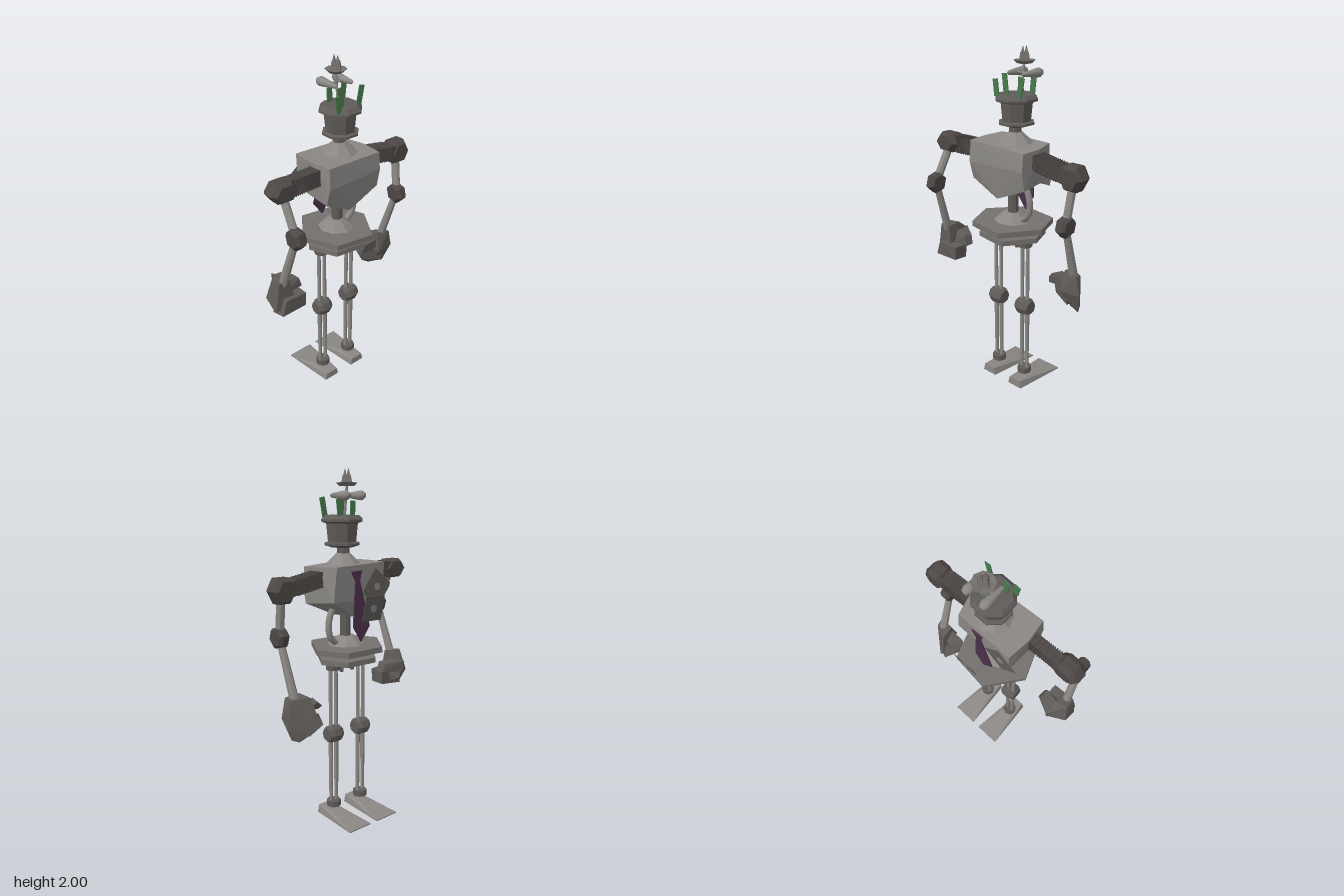
import * as THREE from 'three';
import { ConvexGeometry } from 'three/addons/geometries/ConvexGeometry.js';

const V = (p) => new THREE.Vector3(...p);
const paint = (name, color, side = THREE.FrontSide) => {
  const m = new THREE.MeshStandardMaterial({ color, side });
  m.name = name;
  return m;
};

export function createModel() {
  const root = new THREE.Group();
  root.name = 'robot';
  const steel = paint('steel grey', 0x8a8784);
  const plateGrey = paint('plate grey', 0x74706d);
  const iron = paint('iron grey', 0x5f5b58);
  const dark = paint('dark joint grey', 0x4d4745);
  const green = paint('green', 0x487a4d, THREE.DoubleSide);
  const purple = paint('purple', 0x4a3049, THREE.DoubleSide);

  // Adds a faceted mesh; smooth geometry keeps its own normals.
  const add = (name, geo, mat, pos = [0, 0, 0], rot = [0, 0, 0], smooth = false) => {
    if (!smooth) {
      if (geo.index) geo = geo.toNonIndexed();
      geo.computeVertexNormals();
    }
    const m = new THREE.Mesh(geo, mat);
    m.name = name;
    m.position.set(...pos);
    m.rotation.set(...rot);
    root.add(m);
    return m;
  };
  const box = (name, size, mat, pos, rot) => add(name, new THREE.BoxGeometry(...size), mat, pos, rot);
  const hull = (name, pts, mat) => add(name, new ConvexGeometry(pts.map(V)), mat);
  const cyl = (name, rt, rb, h, n, mat, pos, rot) =>
    add(name, new THREE.CylinderGeometry(rt, rb, h, n), mat, pos, rot);
  // Round bar from a to b
  const rod = (name, a, b, ra, rb, mat, n = 8) => {
    const A = V(a), B = V(b), d = B.clone().sub(A);
    const m = cyl(name, rb, ra, d.length(), n, mat);
    m.position.copy(A).addScaledVector(d, 0.5);
    m.quaternion.setFromUnitVectors(new THREE.Vector3(0, 1, 0), d.normalize());
    return m;
  };
  const turned = (pts, n, start = 0) =>
    new THREE.LatheGeometry(pts.map((p) => new THREE.Vector2(...p)), n, start);
  // Chamfered joint drum, axis along its own y
  const drum = (name, r, w, n, mat, pos, rot) =>
    add(name, turned([[0, -w / 2], [r * 0.75, -w / 2], [r, -w / 4], [r, w / 4], [r * 0.75, w / 2], [0, w / 2]], n),
      mat, pos, rot);
  // Flat outline in x/y
  const plate = (name, pts, depth, mat, pos, rot) =>
    add(name, new THREE.ExtrudeGeometry(new THREE.Shape(pts.map((p) => new THREE.Vector2(...p))),
      { depth, bevelEnabled: false }), mat, pos, rot);

  // Legs and feet, toes towards -z
  for (const x of [-0.108, 0.103]) {
    const s = Math.sign(x);
    hull('foot', [
      [x - 0.04, 0.045, 0.09], [x + 0.04, 0.045, 0.09], [x - 0.05, 0, 0.09], [x + 0.05, 0, 0.09],
      [x - 0.035, 0.043, -0.03], [x + 0.035, 0.043, -0.03],
      [x - 0.08, 0, -0.235], [x + 0.08, 0, -0.235], [x - 0.08, 0.006, -0.235], [x + 0.08, 0.006, -0.235],
    ], steel);
    cyl('ankle', 0.042, 0.042, 0.035, 8, iron, [x, 0.082, 0]);
    for (const dx of [-0.02, 0.02]) {
      rod('shinRod', [x + dx, 0.09, 0], [x + dx, 0.5, 0], 0.011, 0.014, steel);
      rod('thighRod', [x + dx, 0.53, 0], [x + dx, 0.92, 0], 0.011, 0.011, steel);
    }
    drum('knee', 0.053, 0.096, 8, iron, [x, 0.515, 0], [0, 0, Math.PI / 2]);
    cyl('hipCap', 0.042, 0.042, 0.032, 8, iron, [x, 0.915, 0]);
    cyl('hipPin', 0.012, 0.012, 0.09, 6, iron, [s * 0.04, 0.92, 0]);
  }

  // Hexagonal pelvis plates
  const hex = [[-0.08, 0.21], [0.15, 0.187], [0.222, 0], [0.09, -0.21], [-0.14, -0.18], [-0.225, 0.015]];
  plate('upperPelvisPlate', hex, 0.032, plateGrey, [0, 1.005, 0], [-Math.PI / 2, 0.03, 0]);
  plate('lowerPelvisPlate', hex.map((p) => [p[0] * 0.84, p[1] * 0.81]), 0.03, plateGrey, [0, 0.942, 0],
    [-Math.PI / 2, 0.02, 0]);
  cyl('pelvisCore', 0.045, 0.045, 0.05, 8, dark, [0, 0.985, 0]);
  cyl('waistCone', 0.045, 0.11, 0.055, 8, steel, [0, 1.06, 0]);
  cyl('spine', 0.031, 0.031, 0.16, 10, iron, [0.01, 1.15, 0]);
  const hose = new THREE.CatmullRomCurve3([[0.08, 1.27, 0], [0.115, 1.23, 0], [0.135, 1.15, 0],
    [0.12, 1.085, 0], [0.08, 1.05, 0]].map(V));
  add('waistHose', new THREE.TubeGeometry(hose, 16, 0.018, 8), steel, [0, 0, 0], [0, 0, 0], true);

  // Keel-shaped torso
  hull('torso', [
    [-0.18, 1.5, -0.115], [0.17, 1.49, -0.115], [0.205, 1.485, 0.0], [0.2, 1.48, 0.13],
    [-0.17, 1.5, 0.15], [-0.19, 1.5, 0.02],
    [-0.175, 1.38, 0.157], [0.2, 1.38, 0.14], [-0.175, 1.28, 0.13], [0.2, 1.275, 0.12],
    [-0.175, 1.3, -0.11], [0.19, 1.3, -0.11], [0, 1.19, 0.12], [0, 1.2, -0.07],
  ], steel);
  cyl('collar', 0.038, 0.1, 0.06, 8, steel, [0.025, 1.523, 0]);
  cyl('neck', 0.034, 0.034, 0.06, 8, iron, [0.025, 1.575, 0]);

  // Necktie on the back (-z) face
  plate('tie', [[0.043, 1.41], [0.072, 1.46], [-0.004, 1.465], [0.012, 1.41], [-0.064, 1.15], [0, 1.065],
    [0.058, 1.155]], 0.008, purple, [0, 0, -0.124]);

  // Two thin cards with round studs, one backed in green
  const card = (name, size, pos, rot, backed) => {
    const g = new THREE.Group();
    g.name = name;
    g.add(box('cardFace', [size, size, 0.003], iron),
      cyl('cardSpot', 0.022, 0.022, 0.002, 10, steel, [0, 0, -0.0025], [Math.PI / 2, 0, 0]));
    if (backed) g.add(box('cardBacking', [size, size, 0.002], green, [-0.008, -0.012, 0.0026]));
    g.position.set(...pos);
    g.rotation.set(...rot);
    root.add(g);
  };
  card('floatingCard', 0.138, [0.018, 1.27, -0.238], [-0.18, 0, 0.03], false);
  card('shoulderCard', 0.15, [-0.122, 1.365, -0.119], [0, 0, 0.66], true);

  // Head with flared rims
  add('head', turned([[0, 1.585], [0.06, 1.585], [0.102, 1.598], [0.102, 1.61], [0.082, 1.615], [0.092, 1.715],
    [0.12, 1.725], [0.12, 1.737], [0.1, 1.758], [0, 1.762]], 8, Math.PI / 8), iron, [0.033, 0, 0]);

  // Green upright strips around the head top
  const strips = [[-0.045, 0.075, 0.09, 0.12], [-0.005, 0.045, 0.12, 0.13], [0.01, -0.06, 0.09, 0.05],
    [0.115, 0.06, 0.11, -0.2], [0.1, -0.055, 0.1, -0.12]];
  for (const [x, z, h, tilt] of strips)
    box('headStrip', [0.034, h, 0.006], green, [x, 1.745 + h / 2, z], [0, 0, tilt]);

  // Antenna, eye stalks and little hat
  rod('antenna', [0.042, 1.75, -0.03], [0.042, 1.93, -0.05], 0.007, 0.007, steel);
  rod('eyeBar', [-0.012, 1.865, -0.04], [0.097, 1.862, -0.04], 0.006, 0.006, steel);
  for (const x of [-0.012, 0.097])
    add('eyeStalk', turned([[0, -0.078], [0.016, -0.075], [0.026, -0.055], [0.024, -0.03],
      [0.012, 0.06], [0, 0.078]], 12), steel, [x, 1.863, -0.05], [Math.PI / 2, 0, 0], true);
  add('hatBrim', turned([[0, 1.912], [0.04, 1.912], [0.06, 1.93], [0.04, 1.926], [0, 1.926]], 8), plateGrey,
    [0.044, 0, -0.05]);
  cyl('hatCrown', 0.03, 0.04, 0.045, 4, plateGrey, [0.044, 1.945, -0.05]);
  for (const [dx, dz] of [[-0.014, 0], [0.014, 0], [0, 0.014], [0, -0.014]])
    cyl('hatPeak', 0.002, 0.016, 0.04 - Math.abs(dx), 4, plateGrey, [0.044 + dx, 1.98 - Math.abs(dx) / 2, -0.05 + dz]);

  // Arms: finely ribbed shoulder bar, faceted joints, rods
  const arm = ({ inner, shoulder, elbow, wrist, r, squash, bar, ribZ }) => {
    const a = V(inner), b = V(shoulder);
    const tilt = Math.atan((b.y - a.y) / (b.x - a.x));
    box('shoulderBar', [Math.abs(b.x - a.x) * 0.85, bar, ribZ], dark, a.clone().lerp(b, 0.42).toArray(), [0, 0, tilt]);
    for (let i = 0; i < 12; i++)
      box('shoulderRib', [0.004, bar + 0.008, ribZ + 0.006], dark, a.clone().lerp(b, 0.1 + i * 0.055).toArray(),
        [0, 0, tilt]);
    drum('shoulderJoint', r, 0.11, 6, dark, shoulder, [Math.PI / 2, Math.PI / 2, 0]).scale.set(squash, 1, 1);
    rod('upperArm', shoulder, elbow, 0.024, 0.024, steel);
    drum('elbow', 0.063, 0.066, 6, dark, elbow, [0.25, 0, Math.PI / 2]);
    rod('forearm', elbow, wrist, 0.02, 0.026, steel);
  };
  arm({ inner: [-0.17, 1.43, 0.05], shoulder: [-0.42, 1.435, 0.07], elbow: [-0.428, 1.21, 0.19],
    wrist: [-0.455, 0.87, 0.085], r: 0.086, squash: 0.74, bar: 0.09, ribZ: 0.065 });
  arm({ inner: [0.18, 1.425, 0.015], shoulder: [0.445, 1.38, 0.012], elbow: [0.432, 1.122, 0.055],
    wrist: [0.418, 0.79, -0.05], r: 0.073, squash: 1.08, bar: 0.08, ribZ: 0.09 });

  // Hand at -x, a loose fist
  hull('rightPalm', [[-0.49, 0.92, 0.05], [-0.42, 0.92, 0.03], [-0.49, 0.91, 0.11], [-0.42, 0.91, 0.11],
    [-0.52, 0.79, 0.02], [-0.52, 0.74, 0.11], [-0.42, 0.86, -0.045], [-0.41, 0.76, -0.03], [-0.4, 0.78, 0.12],
    [-0.5, 0.72, 0.05], [-0.41, 0.73, 0.03], [-0.42, 0.74, 0.12]], iron);
  hull('rightFingers', [[-0.5, 0.7, 0.05], [-0.5, 0.72, 0.145], [-0.34, 0.715, 0.05], [-0.34, 0.72, 0.14],
    [-0.47, 0.81, 0.05], [-0.47, 0.81, 0.145], [-0.335, 0.8, 0.05], [-0.335, 0.8, 0.14]], iron);
  hull('rightThumb', [[-0.43, 0.87, -0.05], [-0.43, 0.8, -0.04], [-0.33, 0.855, 0.01], [-0.31, 0.8, 0.02],
    [-0.42, 0.87, 0.05], [-0.33, 0.86, 0.07], [-0.31, 0.8, 0.07], [-0.42, 0.8, 0.08]], iron);

  // Hand at +x, hanging lower
  hull('leftPalm', [[0.37, 0.82, -0.03], [0.46, 0.81, -0.02], [0.36, 0.81, -0.11], [0.45, 0.8, -0.07],
    [0.36, 0.7, 0.0], [0.485, 0.7, -0.02], [0.33, 0.68, -0.155], [0.36, 0.63, -0.155], [0.47, 0.63, -0.05],
    [0.38, 0.585, -0.08], [0.45, 0.575, -0.06], [0.42, 0.565, -0.09]], iron);
  hull('leftFingers', [[0.28, 0.64, -0.07], [0.34, 0.6, -0.07], [0.27, 0.69, -0.07], [0.4, 0.72, -0.02],
    [0.4, 0.62, -0.02], [0.31, 0.66, -0.16], [0.38, 0.6, -0.13], [0.34, 0.72, -0.13]], iron);
  hull('leftThumb', [[0.25, 0.74, -0.04], [0.25, 0.705, -0.04], [0.28, 0.775, -0.03], [0.38, 0.78, -0.03],
    [0.37, 0.72, -0.03], [0.26, 0.74, -0.09], [0.3, 0.77, -0.1], [0.37, 0.74, -0.1]], iron);

  return root;
}
